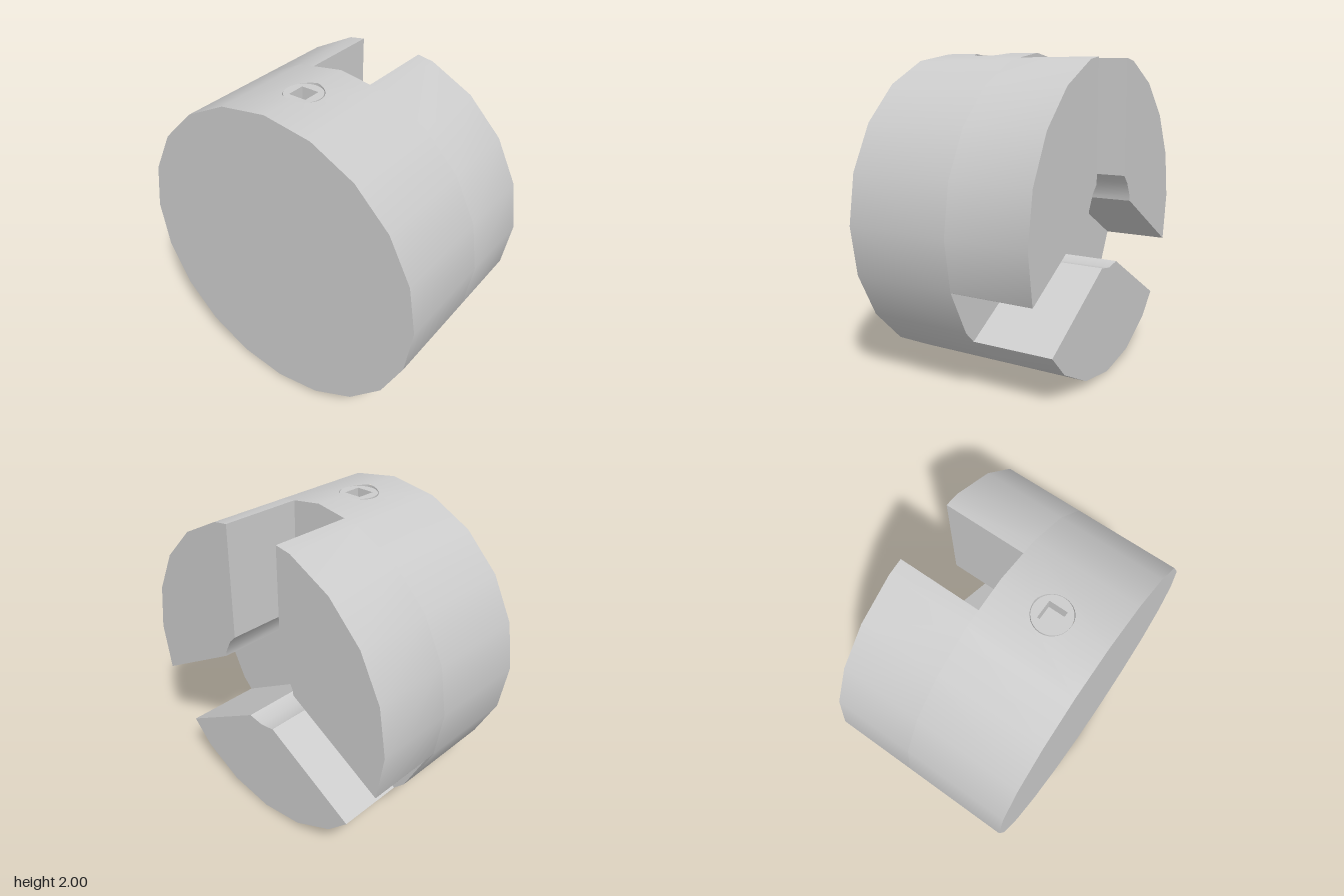
import * as THREE from 'three';
import { toCreasedNormals } from 'three/addons/utils/BufferGeometryUtils.js';

const STEP = Math.PI / 10; // 20-sided round parts
const X0 = -0.6, X1 = 0.08, X2 = 0.6; // back face, slot floor, open face
const BORE = 0.315, HALF_SLOT = 0.205;
const HOLE = { x: -0.255, z: -0.01, r: 0.12 };
const SLOPE = (1 - Math.cos(STEP)) / Math.sin(STEP);

const material = new THREE.MeshStandardMaterial({ color: 0xcccccc });
const doubleSided = new THREE.MeshStandardMaterial({ color: 0xcccccc, side: THREE.DoubleSide });

// Angle where a line parallel to angle a, offset by d, leaves a 20-gon of radius R
const radiusAt = (R, t) => {
  const local = ((t % STEP) + STEP) % STEP;
  return (R * Math.cos(STEP / 2)) / Math.cos(local - STEP / 2);
};
function hit(R, a, d) {
  let t = a;
  for (let i = 0; i < 20; i++) t = a + Math.asin(d / radiusAt(R, t));
  return t;
}

// Points along the 20-gon between two angles, with both ends
function arc(R, t0, t1) {
  const angles = [t0];
  for (let k = Math.ceil(t0 / STEP + 1e-4); k * STEP < t1 - 1e-4; k++) angles.push(k * STEP);
  angles.push(t1);
  return angles.map((t) => new THREE.Vector2(Math.cos(t), Math.sin(t)).multiplyScalar(radiusAt(R, t)));
}

// Ring segment between two slot walls, extruded along x
function segment(a0, d0, a1, d1, length) {
  const outer = arc(1, hit(1, a0, d0), hit(1, a1, d1));
  const inner = arc(BORE, hit(BORE, a0, d0), hit(BORE, a1, d1)).reverse();
  const geo = new THREE.ExtrudeGeometry(new THREE.Shape([...outer, ...inner]), { depth: length, bevelEnabled: false });
  geo.rotateY(Math.PI / 2).translate(X1, 1, 0);
  return toCreasedNormals(geo, 0.6);
}

// One of the two top facets, with its share of the screw hole cut out
function topFacet(side) {
  const a = Math.asin(-HOLE.z / HOLE.r), edge = side * Math.sin(STEP);
  const [from, to] = side > 0 ? [a, Math.PI - a] : [2 * Math.PI + a, Math.PI - a];
  const pts = [[X0, 0], [X0, edge], [X1, edge], [X1, 0]];
  for (let i = 0; i <= 16; i++) {
    const t = from + ((to - from) * i) / 16;
    pts.push([HOLE.x + HOLE.r * Math.cos(t), HOLE.z + HOLE.r * Math.sin(t)]);
  }
  const geo = new THREE.ShapeGeometry(new THREE.Shape(pts.map(([x, z]) => new THREE.Vector2(x, -z))));
  geo.rotateX(-Math.PI / 2);
  const p = geo.attributes.position, n = geo.attributes.normal, v = new THREE.Vector3();
  for (let i = 0; i < p.count; i++) {
    p.setY(i, 2 - Math.abs(p.getZ(i)) * SLOPE);
    v.set(0, p.getY(i) - 1, p.getZ(i)).normalize();
    n.setXYZ(i, v.x, v.y, v.z);
  }
  return geo;
}

export function createModel() {
  const group = new THREE.Group();
  const add = (parent, name, geo, mat = material) => {
    const mesh = new THREE.Mesh(geo, mat);
    mesh.name = name;
    parent.add(mesh);
    return mesh;
  };

  // Solid hub
  const hub = new THREE.Group();
  hub.name = 'hub';
  group.add(hub);
  const side = new THREE.CylinderGeometry(1, 1, X1 - X0, 18, 1, true, 1.5 * Math.PI + STEP, 18 * STEP);
  side.rotateZ(-Math.PI / 2).translate((X0 + X1) / 2, 1, 0);
  add(hub, 'hubSide', side);
  for (const s of [-1, 1]) {
    add(hub, s > 0 ? 'topFacetFront' : 'topFacetBack', topFacet(s));
    const cap = new THREE.CircleGeometry(1, 20).rotateY((s * Math.PI) / 2).translate(s > 0 ? X1 : X0, 1, 0);
    add(hub, s > 0 ? 'slotFloor' : 'endFace', cap);
  }

  // Three jaws separated by the slots, around the central bore
  const third = (2 * Math.PI) / 3;
  for (let i = 0; i < 3; i++) {
    const a = Math.PI / 2 + i * third;
    add(group, `jaw${i + 1}`, segment(a, HALF_SLOT, a + third, -HALF_SLOT, X2 - X1));
  }

  // The back slot is shallower than the others
  const backSlot = Math.PI / 2 + 2 * third;
  add(group, 'backSlotStep', segment(backSlot, -HALF_SLOT, backSlot, HALF_SLOT, 0.08));

  // Screw hole wall, its rim following the ridge
  const wall = new THREE.CylinderGeometry(HOLE.r, HOLE.r, 0.1, 32, 1, true);
  wall.translate(HOLE.x, 1.95, HOLE.z);
  const p = wall.attributes.position;
  for (let i = 0; i < p.count; i++) {
    if (p.getY(i) > 1.95) p.setY(i, 2 - Math.abs(p.getZ(i)) * SLOPE);
  }
  add(group, 'screwHole', wall, doubleSided);

  // Set screw with a square socket
  const screw = new THREE.Group();
  screw.name = 'setScrew';
  screw.position.set(HOLE.x, 1.905, HOLE.z);
  group.add(screw);
  const h = 0.058;
  const head = new THREE.Shape().absarc(0, 0, 0.116, 0, 2 * Math.PI);
  head.holes.push(new THREE.Path([[-h, -h], [-h, h], [h, h], [h, -h]].map(([x, y]) => new THREE.Vector2(x, y))));
  const headGeo = new THREE.ExtrudeGeometry(head, { depth: 0.08, bevelEnabled: false, curveSegments: 16 });
  add(screw, 'screwHead', toCreasedNormals(headGeo.rotateX(-Math.PI / 2), 0.6));
  add(screw, 'socketFloor', new THREE.PlaneGeometry(2 * h, 2 * h).rotateX(-Math.PI / 2));

  return group;
}
